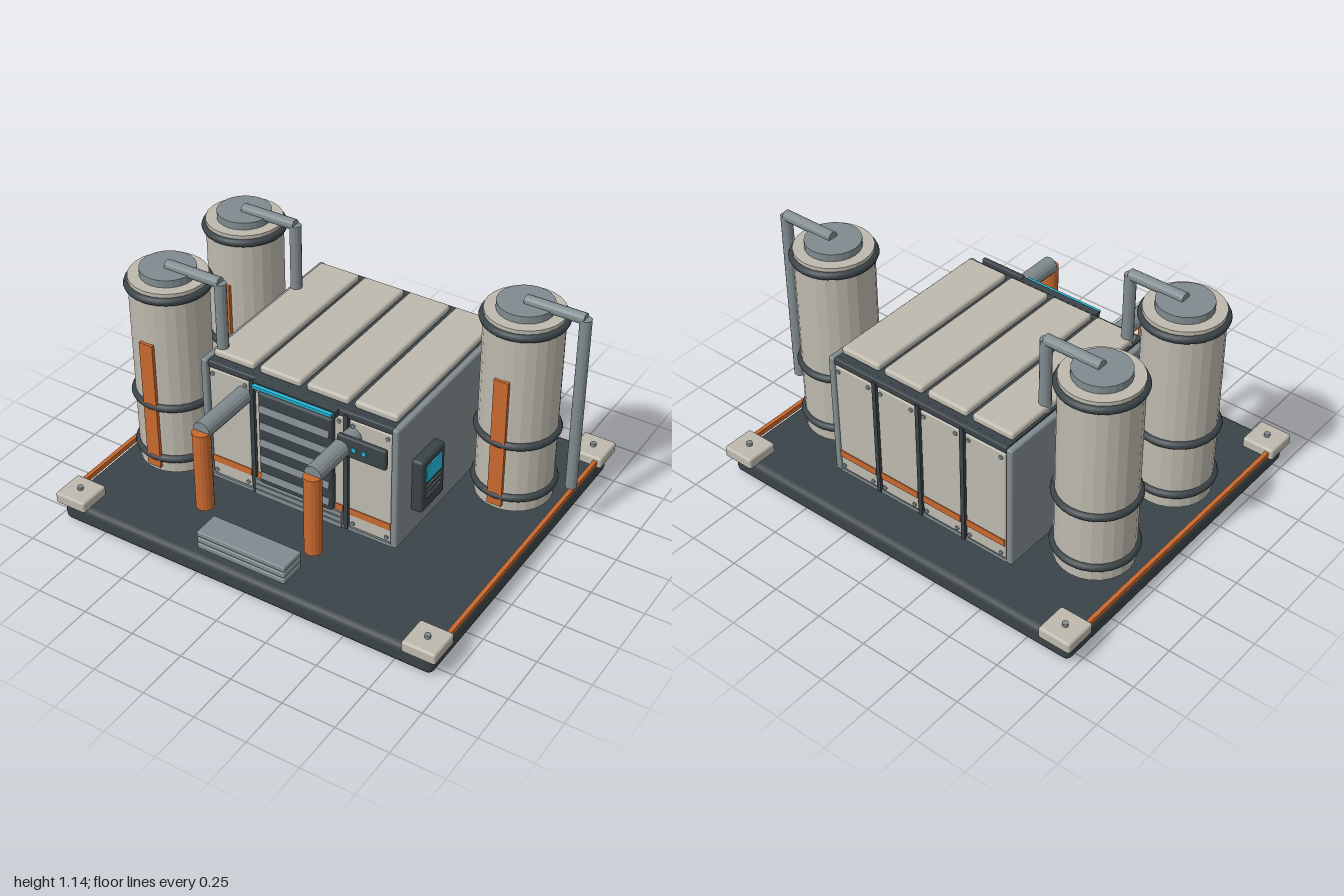
import * as THREE from 'three';
import { RoundedBoxGeometry } from 'three/addons/geometries/RoundedBoxGeometry.js';

const mat = (color, flatShading = false) => new THREE.MeshStandardMaterial({ color, flatShading });
const DARK = mat(0x3a4347), CREAM = mat(0xbdb9ae), GREY = mat(0x808b8f), ORANGE = mat(0xc8682f), CYAN = mat(0x22b8d8);
const CREAM_FLAT = mat(0xbdb9ae, true), GREY_FLAT = mat(0x808b8f, true), ORANGE_FLAT = mat(0xc8682f, true);

function add(parent, name, geometry, material, x = 0, y = 0, z = 0) {
  const mesh = new THREE.Mesh(geometry, material);
  mesh.name = name;
  mesh.position.set(x, y, z);
  parent.add(mesh);
  return mesh;
}

function group(parent, name, x = 0, y = 0, z = 0) {
  const g = new THREE.Group();
  g.name = name;
  g.position.set(x, y, z);
  parent.add(g);
  return g;
}

// Boxes are given by their limits on each axis; r > 0 rounds the edges
function box(parent, name, material, [x0, x1], [y0, y1], [z0, z1], r = 0) {
  const size = [x1 - x0, y1 - y0, z1 - z0];
  const geo = r ? new RoundedBoxGeometry(...size, 2, r) : new THREE.BoxGeometry(...size);
  return add(parent, name, geo, material, (x0 + x1) / 2, (y0 + y1) / 2, (z0 + z1) / 2);
}

// Straight round pipe between two points
function pipe(parent, name, material, a, b, r, sides = 14) {
  const from = new THREE.Vector3(...a), to = new THREE.Vector3(...b);
  const dir = to.clone().sub(from);
  const mesh = add(parent, name, new THREE.CylinderGeometry(r, r, dir.length(), sides), material);
  mesh.position.copy(from).add(to).multiplyScalar(0.5);
  mesh.quaternion.setFromUnitVectors(new THREE.Vector3(0, 1, 0), dir.normalize());
  return mesh;
}

const CX = -0.02; // centre line of the base and the housing

function buildBase(root) {
  const base = group(root, 'base');
  box(base, 'deck', DARK, [-0.97, 0.93], [0, 0.1], [-0.815, 0.81], 0.03);
  for (const sx of [-1, 1]) {
    const rx = CX + sx * 0.945;
    box(base, 'edgeRail', ORANGE, [rx - 0.01, rx + 0.01], [0.105, 0.13], [-0.69, 0.67]);
    for (const z of [-0.765, 0.75]) {
      const x = CX + sx * 0.895;
      box(base, 'cornerFoot', CREAM, [x - 0.08, x + 0.08], [0.09, 0.147], [z - 0.08, z + 0.08], 0.012);
      add(base, 'cornerBolt', new THREE.CylinderGeometry(0.014, 0.014, 0.02, 10), GREY, x, 0.152, z);
    }
  }
  // Step of three stacked treads
  for (let i = 0; i < 3; i++) {
    const y = 0.13 + i * 0.032;
    box(base, 'stepTread', GREY, [-0.25, 0.2], [y, y + 0.027], [0.652, 0.782], 0.006);
  }
}

// Wall panel with stripe and corner bolts; s = +1 faces front, -1 faces back
function wallPanel(parent, x, z, s) {
  const p = group(parent, s > 0 ? 'frontPanel' : 'backPanel', x, 0, z);
  box(p, 'panelSheet', CREAM, [-0.106, 0.106], [0.145, 0.72], [-0.012, 0.012], 0.008);
  const zs = s * 0.012;
  box(p, 'panelStripe', ORANGE, [-0.104, 0.104], [0.215, 0.25], [zs - 0.004, zs + 0.004]);
  for (const bx of [-0.085, 0.085]) for (const by of [0.17, 0.695])
    pipe(p, 'panelBolt', GREY, [bx, by, 0], [bx, by, s * 0.018], 0.01, 8);
}

function buildHousing(root) {
  const h = group(root, 'housing');
  box(h, 'housingCore', DARK, [-0.49, 0.45], [0.125, 0.755], [-0.595, 0.31]);
  for (const x of [-0.507, 0.462])
    box(h, 'sidePlate', GREY, [x - 0.017, x + 0.015], [0.13, 0.757], [-0.622, 0.337], 0.01);
  // Frame beams along the upper and lower edges
  for (const [z0, z1] of [[-0.615, -0.585], [0.3, 0.33]]) {
    box(h, 'topBeam', DARK, [-0.49, 0.45], [0.722, 0.757], [z0, z1], 0.008);
    box(h, 'bottomBeam', GREY, [-0.49, 0.45], [0.125, 0.143], [z0, z1]);
  }
  // Four bays: roof panel, front panel, back panel and dark ribs between
  for (let i = 0; i < 4; i++) {
    const x = CX + (i - 1.5) * 0.2395;
    box(h, 'roofPanel', CREAM, [x - 0.106, x + 0.106], [0.755, 0.793], [-0.57, 0.29], 0.014);
    wallPanel(h, x, 0.316, 1);
    wallPanel(h, x, -0.604, -1);
    if (i < 3) for (const z of [0.318, -0.606])
      box(h, 'wallRib', DARK, [x + 0.11, x + 0.13], [0.13, 0.74], [z - 0.016, z + 0.016]);
  }
}

function buildShutter(root) {
  const s = group(root, 'shutter');
  box(s, 'shutterFrame', DARK, [-0.21, 0.165], [0.22, 0.71], [0.32, 0.36], 0.012);
  for (let i = 0; i < 5; i++) {
    const y = 0.27 + i * 0.09;
    const slat = box(s, 'shutterSlat', GREY, [-0.2, 0.155], [y - 0.018, y + 0.018], [0.354, 0.366]);
    slat.rotation.x = -0.2;
  }
  for (let i = 0; i < 3; i++)
    box(s, 'shutterSill', GREY, [-0.25, 0.2], [0.13 + i * 0.03, 0.155 + i * 0.03], [0.32, 0.34]);
  box(s, 'lightHousing', DARK, [-0.235, 0.185], [0.725, 0.757], [0.325, 0.36]);
  box(s, 'lightStrip', CYAN, [-0.225, 0.175], [0.737, 0.751], [0.355, 0.378]);
}

function buildControls(root) {
  // Terminal on the left wall
  const t = group(root, 'terminal');
  box(t, 'terminalCase', DARK, [0.47, 0.53], [0.263, 0.535], [0.022, 0.217], 0.015);
  box(t, 'terminalScreen', CYAN, [0.525, 0.536], [0.42, 0.5], [0.058, 0.185]);
  for (const y of [0.34, 0.367, 0.393])
    box(t, 'terminalVent', GREY, [0.527, 0.534], [y - 0.004, y + 0.004], [0.058, 0.185]);
  // Small status box ahead of the front wall
  const b = group(root, 'statusBox');
  box(b, 'statusCase', DARK, [0.235, 0.472], [0.61, 0.71], [0.403, 0.428], 0.008);
  for (const x of [0.32, 0.37]) box(b, 'statusLight', CYAN, [x - 0.01, x + 0.01], [0.65, 0.67], [0.426, 0.433]);
}

function buildExhausts(root) {
  for (const x of [-0.303, 0.255]) {
    const e = group(root, 'frontDuct', x);
    pipe(e, 'ductArm', GREY_FLAT, [0, 0.643, 0.31], [0, 0.643, 0.64], 0.042, 16);
    pipe(e, 'ductDrop', ORANGE_FLAT, [0, 0.245, 0.64], [0, 0.64, 0.64], 0.041, 16);
  }
}

function buildTank(root, x, z) {
  const t = group(root, 'tank', x, 0, z);
  add(t, 'tankBody', new THREE.CylinderGeometry(0.178, 0.178, 0.952, 24), CREAM_FLAT, 0, 0.601, 0);
  add(t, 'tankCap', new THREE.CylinderGeometry(0.126, 0.126, 0.04, 24), GREY_FLAT, 0, 1.092, 0);
  for (const y of [0.2, 0.48, 1.04])
    add(t, 'tankBand', new THREE.TorusGeometry(0.178, 0.019, 8, 32), DARK, 0, y, 0).rotation.x = Math.PI / 2;
  box(t, 'tankStripe', ORANGE, [-0.035, 0.035], [0.15, 0.81], [0.168, 0.19]);
  // Outlet pipe across the top and down
  pipe(t, 'outletArm', GREY_FLAT, [0, 1.117, 0], [0.277, 1.117, 0], 0.026);
  pipe(t, 'outletDrop', GREY_FLAT, [0.277, 0.245, 0], [0.277, 1.117, 0], 0.027);
}

export function createModel() {
  const root = new THREE.Group();
  root.name = 'processingStation';
  buildBase(root);
  buildHousing(root);
  buildShutter(root);
  buildControls(root);
  buildExhausts(root);
  for (const [x, z] of [[-0.738, -0.325], [-0.738, 0.25], [0.695, -0.325]]) buildTank(root, x, z);
  return root;
}
